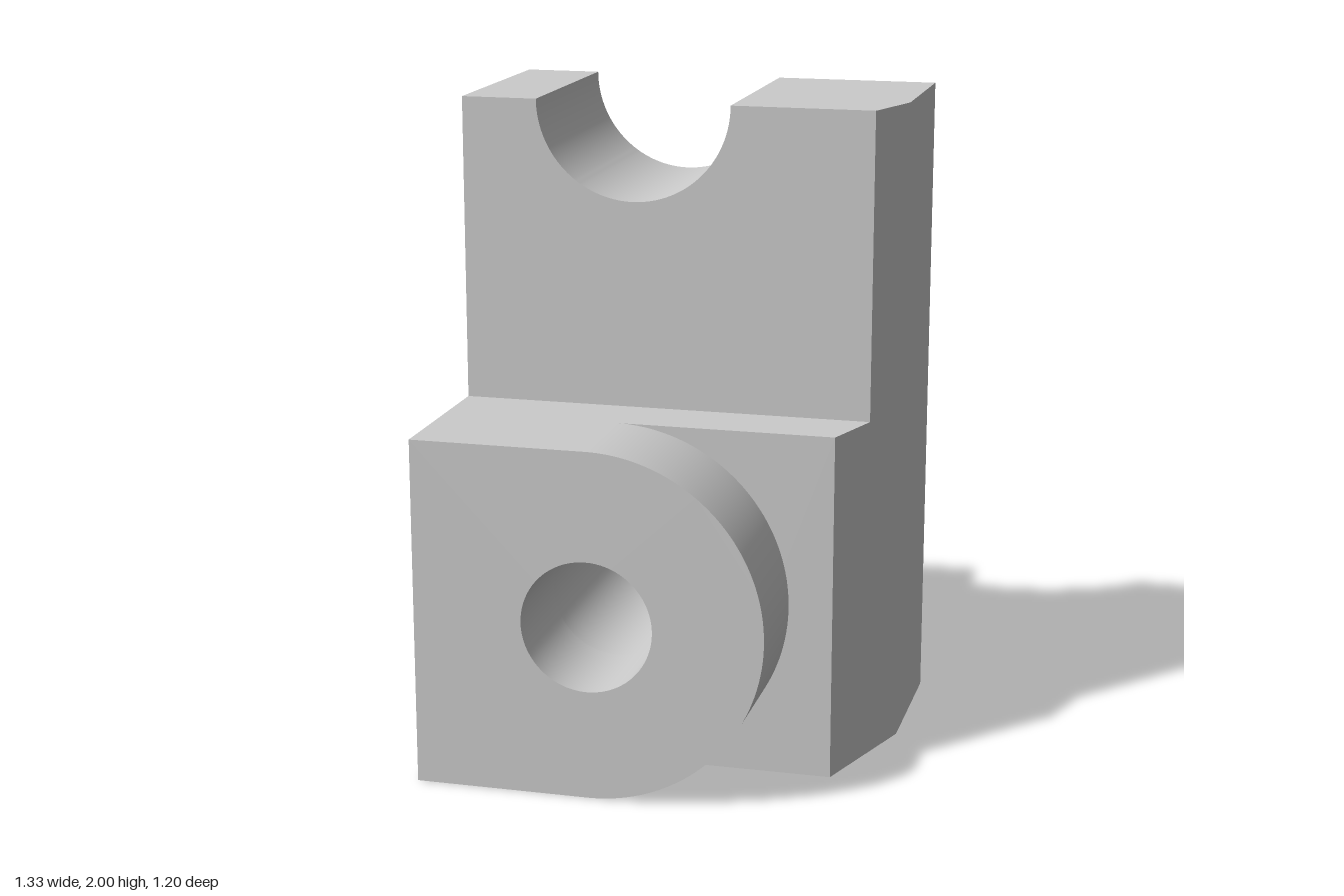
import * as THREE from 'three';
import { toCreasedNormals } from 'three/addons/utils/BufferGeometryUtils.js';

// All dimensions are multiples of one small unit
const U = 1 / 15;
const HALF = 10 * U, BACK = -9 * U, STEP = U, SLAB = 4 * U, FRONT = 9 * U;
const AXIS = -2 * U, SHELF = 16 * U, BORE = 3 * U, ROUND = 8 * U, GROOVE = 0.3;
const SEGMENTS = 40;
const near = (a, b) => Math.abs(a - b) < 1e-4;

// Extrude in unit-deep steps, taper the right flank, and drop hidden joint faces
function block(name, shape, z0, z1, hidden, material) {
  const geo = new THREE.ExtrudeGeometry(shape, {
    depth: z1 - z0, steps: Math.round((z1 - z0) / U), bevelEnabled: false, curveSegments: SEGMENTS,
  }).translate(0, 0, z0);
  const p = geo.attributes.position;
  const kept = [];
  for (let i = 0; i < p.count; i += 3) {
    const tri = [0, 1, 2].map((k) => new THREE.Vector3().fromBufferAttribute(p, i + k));
    if (tri.every(hidden)) continue;
    for (const v of tri) kept.push(Math.min(v.x, HALF - (v.z + 2 * U) / 3), v.y, v.z);
  }
  const out = new THREE.BufferGeometry();
  out.setAttribute('position', new THREE.Float32BufferAttribute(kept, 3));
  const mesh = new THREE.Mesh(toCreasedNormals(out, 0.5), material);
  mesh.name = name;
  return mesh;
}

function addBore(shape) {
  shape.holes.push(new THREE.Path().absarc(AXIS, SHELF / 2, BORE, 0, Math.PI * 2, true));
  return shape;
}

export function createModel() {
  const group = new THREE.Group();
  group.name = 'bearingBlock';
  const material = new THREE.MeshStandardMaterial({ color: 0xcccccc });

  // Upper block with the half-round groove
  const upper = new THREE.Shape();
  upper.moveTo(-HALF, SHELF);
  upper.lineTo(HALF, SHELF);
  upper.lineTo(HALF, 2);
  upper.lineTo(AXIS + GROOVE, 2);
  upper.absarc(AXIS, 2, GROOVE, 0, -Math.PI, true);
  upper.lineTo(-HALF, 2);
  upper.closePath();
  group.add(block('groovedUpperBlock', upper, BACK, STEP, (v) => near(v.y, SHELF), material));

  // Lower block, deeper by a narrow shelf
  const lower = new THREE.Shape();
  lower.moveTo(-HALF, 0);
  lower.lineTo(HALF, 0);
  lower.lineTo(HALF, SHELF);
  lower.lineTo(-HALF, SHELF);
  lower.closePath();
  group.add(block('lowerBlock', addBore(lower), BACK, SLAB,
    (v) => near(v.z, SLAB) || (near(v.y, SHELF) && v.z < STEP + 1e-4), material));

  // Front face of the lower block around the boss
  const right = HALF - 2 * U;
  const face = new THREE.Shape();
  face.moveTo(AXIS, 0);
  face.lineTo(right, 0);
  face.lineTo(right, SHELF);
  face.lineTo(AXIS, SHELF);
  face.absarc(AXIS, SHELF / 2, ROUND, Math.PI / 2, -Math.PI / 2, true);
  const faceMesh = new THREE.Mesh(new THREE.ShapeGeometry(face, SEGMENTS).translate(0, 0, SLAB), material);
  faceMesh.name = 'lowerBlockFrontFace';
  group.add(faceMesh);

  // Boss with a rounded end and a through bore
  const boss = new THREE.Shape();
  boss.moveTo(-HALF, 0);
  boss.lineTo(AXIS, 0);
  boss.absarc(AXIS, SHELF / 2, ROUND, -Math.PI / 2, Math.PI / 2, false);
  boss.lineTo(-HALF, SHELF);
  boss.closePath();
  group.add(block('roundedBoss', addBore(boss), SLAB, FRONT, (v) => near(v.z, SLAB), material));

  return group;
}
